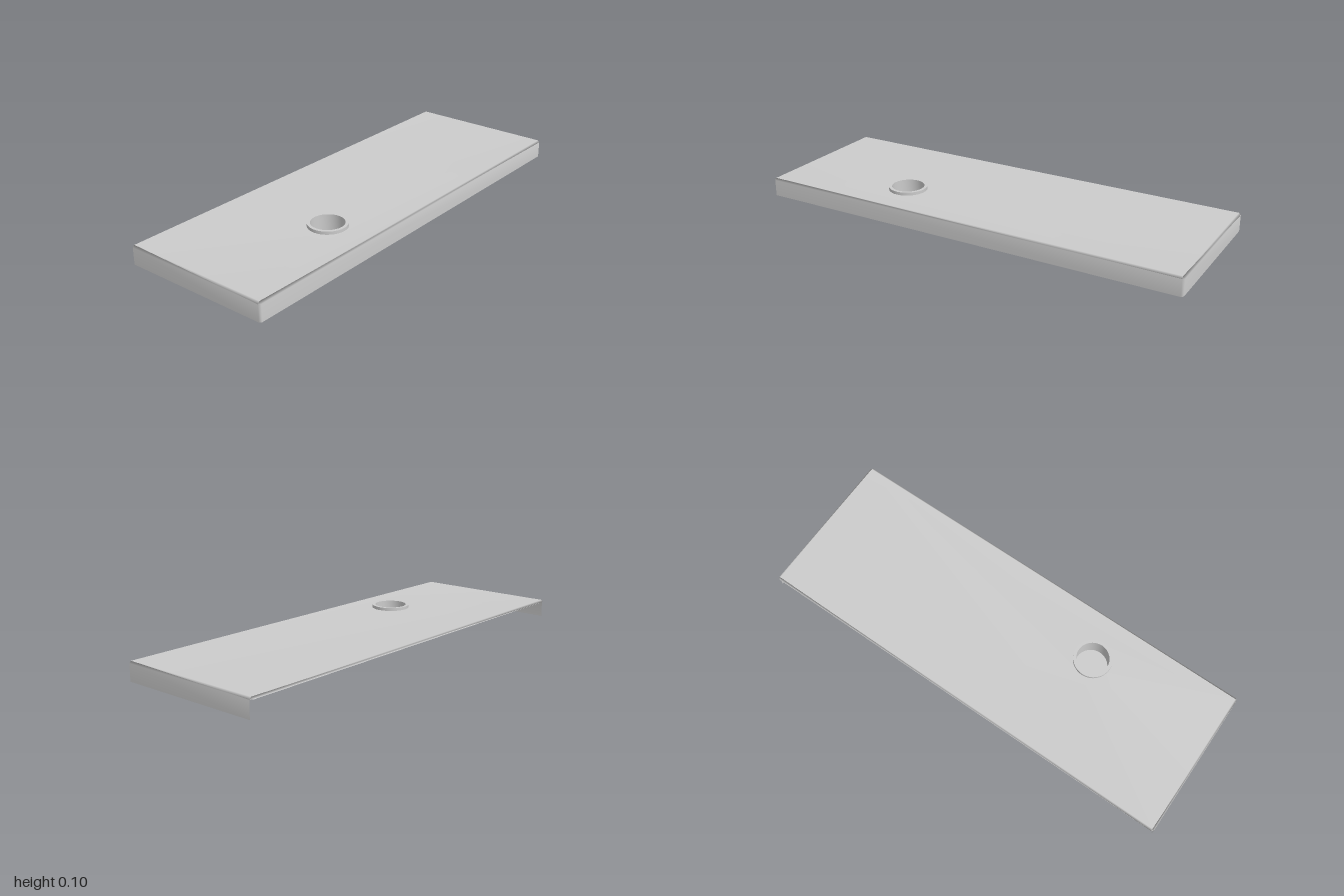
import * as THREE from 'three';
import { mergeGeometries, mergeVertices, toCreasedNormals } from 'three/addons/utils/BufferGeometryUtils.js';

const X = 1, Z = 0.349, TOP = 0.084, B = 0.009; // half sizes, height, bevel
const SINK = { x: -0.385, z: 0.139, rim: 0.087, bowl: 0.073, top: 0.098, bottom: 0.004 };

// Flat polygon from corners listed counter-clockwise as seen from outside
function polygon(...corners) {
  const g = new THREE.BufferGeometry();
  g.setAttribute('position', new THREE.Float32BufferAttribute(corners.flat(), 3));
  g.setIndex(corners.length === 4 ? [0, 1, 2, 0, 2, 3] : [0, 1, 2]);
  return g;
}

// Top panel with the sink opening cut out
function topPanel() {
  const x = X - B, z = Z - B;
  const shape = new THREE.Shape([[-x, -z], [x, -z], [x, z], [-x, z]].map(p => new THREE.Vector2(...p)));
  const hole = new THREE.Path();
  hole.absarc(SINK.x, -SINK.z, 0.08, 0, Math.PI * 2, true);
  shape.holes.push(hole);
  const g = new THREE.ShapeGeometry(shape, 16);
  g.rotateX(-Math.PI / 2).translate(0, TOP, 0);
  g.deleteAttribute('uv');
  g.deleteAttribute('normal');
  return g;
}

// Bevelled shell: skirts on the front and both sides, open back and underside
function shell() {
  const parts = [topPanel()];
  const x = X - B, z = Z - B, low = TOP - B;
  // plan outline, each edge paired with the panel corners above it
  const outer = [[X, -z], [x, -Z], [-x, -Z], [-X, -z], [-X, z], [-x, Z], [x, Z], [X, z]];
  const inner = [[x, -z], [x, -z], [-x, -z], [-x, -z], [-x, z], [-x, z], [x, z], [x, z]];
  const at = ([px, pz], y) => [px, y, pz];
  for (let i = 0; i < 8; i++) {
    const j = (i + 1) % 8;
    const a = at(outer[i], low), b = at(outer[j], low);
    const c = at(inner[j], TOP), d = at(inner[i], TOP);
    parts.push(i % 2 ? polygon(b, a, d, c) : polygon(b, a, d)); // bevel or its corner
    if (i >= 3) parts.push(polygon(at(outer[j], 0), at(outer[i], 0), a, b)); // skirt
  }
  // the last edge is the right-hand side, so the back three stay open
  const g = mergeVertices(mergeGeometries(parts), 1e-5);
  g.computeVertexNormals();
  return g;
}

// Raised rim and straight-sided bowl
function sink() {
  const profile = [
    [SINK.rim, TOP], [SINK.rim, SINK.top], [SINK.bowl, SINK.top],
    [SINK.bowl, SINK.bottom], [0, SINK.bottom],
  ].map(p => new THREE.Vector2(...p));
  return toCreasedNormals(new THREE.LatheGeometry(profile, 32), 0.6);
}

export function createModel() {
  const group = new THREE.Group();
  group.name = 'countertop';
  const material = new THREE.MeshStandardMaterial({ color: 0xcccccc, side: THREE.DoubleSide });

  const counter = new THREE.Mesh(shell(), material);
  counter.name = 'counterShell';

  const basin = new THREE.Mesh(sink(), material);
  basin.name = 'sinkBowl';
  basin.position.set(SINK.x, 0, SINK.z);

  group.add(counter, basin);
  return group;
}
